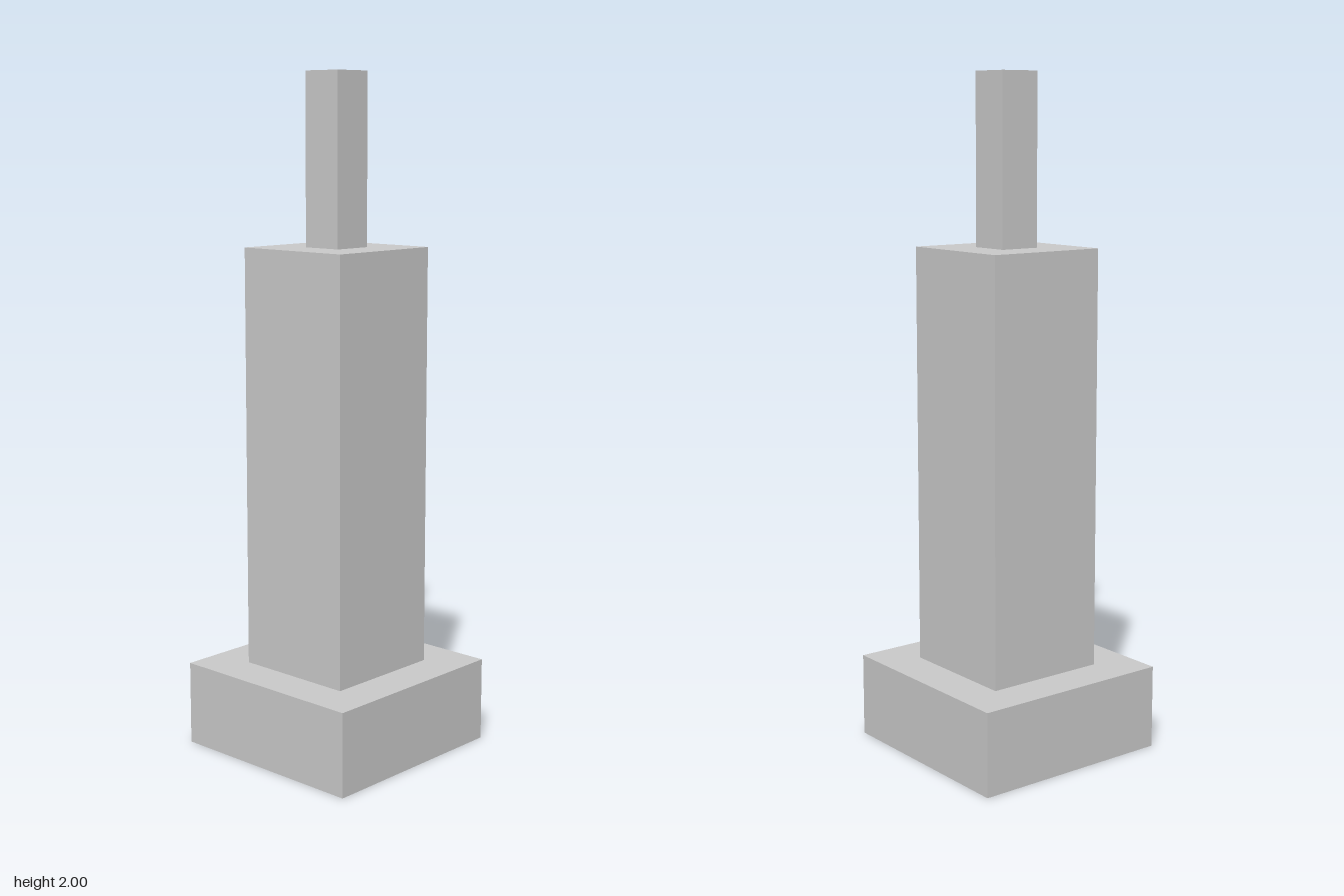
import * as THREE from 'three';

export function createModel() {
  const group = new THREE.Group();
  group.name = 'tower';
  const material = new THREE.MeshStandardMaterial({ color: 0xcccccc, flatShading: true });

  // Square block standing between two heights
  const addBlock = (name, width, bottom, top) => {
    const mesh = new THREE.Mesh(new THREE.BoxGeometry(width, top - bottom, width), material);
    mesh.name = name;
    mesh.position.y = (bottom + top) / 2;
    group.add(mesh);
  };

  addBlock('base', 0.625, 0, 0.25);
  addBlock('shaft', 0.375, 0.25, 1.5);
  addBlock('spire', 0.125, 1.5, 2);

  return group;
}
